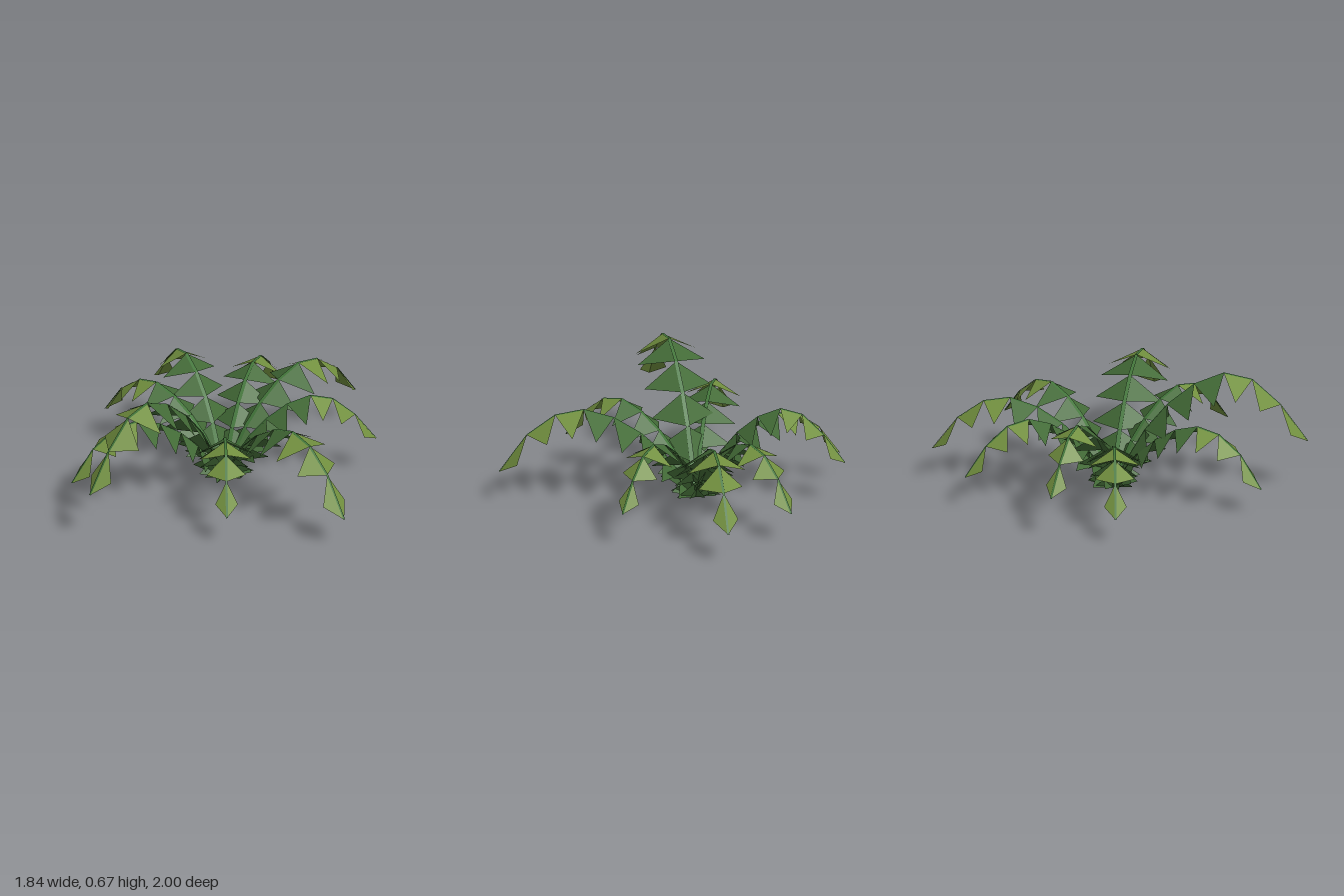
import * as THREE from 'three';

const material = (name, color) => {
  const m = new THREE.MeshStandardMaterial({ color, side: THREE.DoubleSide, flatShading: true });
  m.name = name;
  return m;
};

// Root of the plant, where every frond starts
const ROOT = new THREE.Vector3(-0.12, 0, -0.035);

// Arched midrib: fraction of reach and fraction of peak height at each node
const REACH = [0, 0.075, 0.165, 0.28, 0.418, 0.57, 0.715, 0.86, 1];
const RISE = [0, 0.25, 0.5, 0.72, 0.9, 1, 0.95, 0.74, 0];
// Half width of each leaflet pair, and where along its segment the points sit
const WIDTH = [0.125, 0.155, 0.17, 0.18, 0.183, 0.165, 0.125, 0.072];
const TIP_AT = [0.6, 0.55, 0.45, 0.45, 0.5, 0.58, 0.6, 0.6];
const DROOP = 0.5;

// Tip x, tip z, peak height, tip height
const FRONDS = [
  [-0.12, -1.0, 0.49, 0.18],
  [0.39, -0.67, 0.47, 0.2],
  [0.92, 0.07, 0.52, 0.18],
  [0.48, 0.51, 0.46, 0.18],
  [-0.06, 1.0, 0.67, 0.29],
  [-0.42, 0.79, 0.44, 0.15],
  [-0.92, 0.07, 0.42, 0.15],
  [-0.88, -0.28, 0.53, 0.24],
  [-0.5, -0.78, 0.46, 0.18],
];

function meshFrom(points, mat, name) {
  const g = new THREE.BufferGeometry();
  g.setAttribute('position', new THREE.Float32BufferAttribute(points.flatMap((p) => [p.x, p.y, p.z]), 3));
  g.computeVertexNormals();
  const mesh = new THREE.Mesh(g, mat);
  mesh.name = name;
  return mesh;
}

function makeFrond([tx, tz, peak, tipY], mats) {
  const out = new THREE.Vector3(tx - ROOT.x, 0, tz - ROOT.z);
  const reach = out.length();
  out.normalize();
  const side = new THREE.Vector3(0, 1, 0).cross(out);
  const size = 0.25 + 0.72 * reach;
  const nodes = REACH.map((r, i) =>
    ROOT.clone().addScaledVector(out, r * reach).setY(i === 8 ? tipY : RISE[i] * peak));

  // Folded leaflet pairs with a flat midrib strip just above the fold
  const inner = [], outer = [], rib = [];
  for (let i = 0; i < 8; i++) {
    const a = nodes[i], b = nodes[i + 1];
    const normal = b.clone().sub(a).normalize().cross(side);
    const w = WIDTH[i] * size;
    const tip = (s) => a.clone().lerp(b, TIP_AT[i])
      .addScaledVector(side, s * w).addScaledVector(normal, -w * DROOP);
    (i < 5 ? inner : outer).push(a, tip(1), b, a, b, tip(-1));

    const edge = (p, s, k) => p.clone()
      .addScaledVector(side, s * (0.014 - 0.0011 * k)).addScaledVector(normal, 0.002);
    const a1 = edge(a, 1, i), a2 = edge(a, -1, i), b1 = edge(b, 1, i + 1), b2 = edge(b, -1, i + 1);
    rib.push(a1, b1, b2, a1, b2, a2);
  }

  const frond = new THREE.Group();
  frond.name = 'frond';
  frond.add(
    meshFrom(inner, mats.leaf, 'innerLeaflets'),
    meshFrom(outer, mats.olive, 'outerLeaflets'),
    meshFrom(rib, mats.rib, 'midrib'),
  );
  return frond;
}

export function createModel() {
  const mats = {
    leaf: material('leaf green', 0x436b37),
    olive: material('olive green', 0x72903f),
    rib: material('rib green', 0x42753a),
  };
  const plant = new THREE.Group();
  plant.name = 'fern';
  FRONDS.forEach((f) => plant.add(makeFrond(f, mats)));
  return plant;
}
